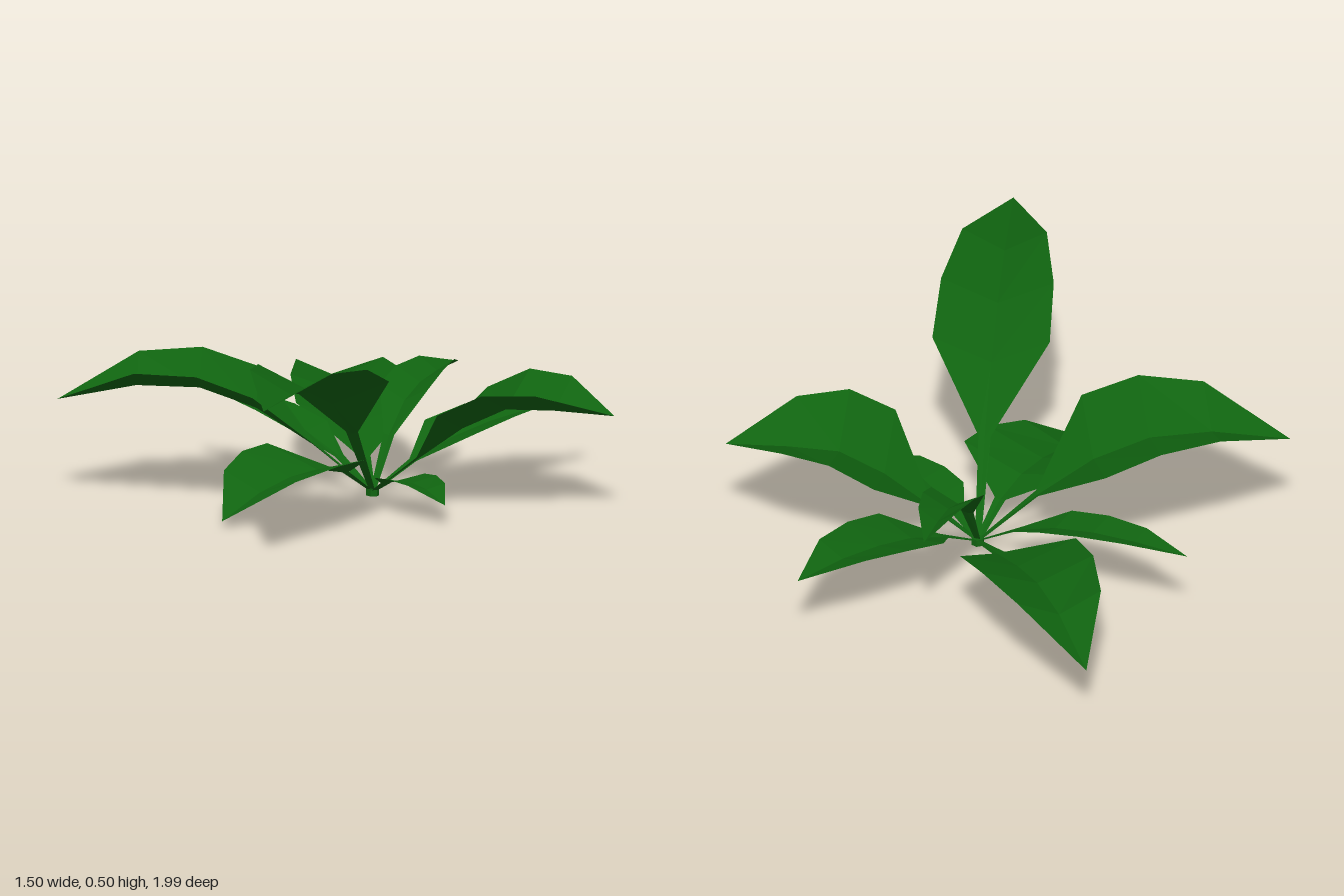
import * as THREE from 'three';

// Root of the plant, where all stalks meet
const ROOT_X = 0.06, ROOT_Z = -0.13;

// Shared blade outline: position along the leaf, share of half width, share of edge lift
const ALONG = [0, 0.19, 0.37, 0.55, 0.75, 1];
const WIDTH = [0, 0, 1, 0.96, 0.72, 0];
const LIFT = [0, 0.08, 1, 1, 0.9, 0];
const STALK = [0.008, 0.017, 0, 0, 0, 0];

// A leaf is a V-shaped strip folded along its midrib
function leafGeometry({ tip, width, lift, rib }) {
  const dx = tip[0] - ROOT_X, dz = tip[1] - ROOT_Z;
  const length = Math.hypot(dx, dz);
  const sideX = dz / length, sideZ = -dx / length;
  const positions = [], index = [];
  ALONG.forEach((t, i) => {
    const half = WIDTH[i] * width + STALK[i];
    for (const s of [-1, 0, 1]) {
      positions.push(
        ROOT_X + dx * t + sideX * half * s,
        rib[i] + Math.abs(s) * LIFT[i] * lift,
        ROOT_Z + dz * t + sideZ * half * s,
      );
    }
    if (i === 0) return;
    const a = (i - 1) * 3, b = i * 3;
    for (const k of [0, 1]) {
      const p = a + k, q = a + k + 1, r = b + k, u = b + k + 1;
      if (i === ALONG.length - 1) index.push(p, r, q);
      else index.push(p, r, q, q, r, u);
    }
  });
  const geometry = new THREE.BufferGeometry();
  geometry.setAttribute('position', new THREE.Float32BufferAttribute(positions, 3));
  // Wind every face so that its front looks up
  for (let i = 0; i < index.length; i += 3) {
    const [a, b, c] = index.slice(i, i + 3).map((n) => new THREE.Vector3().fromArray(positions, n * 3));
    if (b.sub(a).cross(c.sub(a)).y < 0) [index[i + 1], index[i + 2]] = [index[i + 2], index[i + 1]];
  }
  geometry.setIndex(index);
  const flat = geometry.toNonIndexed();
  flat.computeVertexNormals();
  return flat;
}

// tip is [x, z]; rib lists midrib heights from root to tip
const LEAVES = [
  { name: 'frontLongLeaf', tip: [0.18, 0.99], width: 0.16, lift: 0.07, rib: [0.01, 0.21, 0.33, 0.4, 0.435, 0.44] },
  { name: 'leftBroadLeaf', tip: [0.75, -0.17], width: 0.22, lift: 0.075, rib: [0.01, 0.11, 0.2, 0.26, 0.265, 0.26] },
  { name: 'rightBroadLeaf', tip: [-0.75, 0.15], width: 0.23, lift: 0.07, rib: [0.01, 0.14, 0.24, 0.295, 0.3, 0.26] },
  { name: 'backLongLeaf', tip: [-0.41, -1], width: 0.165, lift: 0.06, rib: [0.01, 0.07, 0.13, 0.175, 0.185, 0.145] },
  { name: 'backLeftLeaf', tip: [0.44, -0.74], width: 0.12, lift: 0.03, rib: [0.01, 0.08, 0.13, 0.16, 0.18, 0.185] },
  { name: 'backSmallLeaf', tip: [0.11, -0.64], width: 0.075, lift: 0.04, rib: [0.01, 0.15, 0.23, 0.265, 0.28, 0.285] },
  { name: 'backRightNarrowLeaf', tip: [-0.58, -0.44], width: 0.075, lift: 0.02, rib: [0.01, 0.09, 0.14, 0.17, 0.19, 0.205] },
  { name: 'frontRightLeaf', tip: [-0.15, 0.455], width: 0.18, lift: 0.05, rib: [0.01, 0.08, 0.105, 0.1, 0.075, 0.018] },
  { name: 'frontLeftSmallLeaf', tip: [0.4, 0.2], width: 0.075, lift: 0.015, rib: [0.01, 0.05, 0.07, 0.08, 0.078, 0.055] },
];

export function createModel() {
  const plant = new THREE.Group();
  plant.name = 'leafyPlant';
  const green = new THREE.MeshStandardMaterial({ color: 0x106410, flatShading: true, side: THREE.DoubleSide });
  green.name = 'leafGreen';

  for (const leaf of LEAVES) {
    const mesh = new THREE.Mesh(leafGeometry(leaf), green);
    mesh.name = leaf.name;
    plant.add(mesh);
  }

  // Short crown joining the stalks
  const crown = new THREE.Mesh(new THREE.CylinderGeometry(0.018, 0.018, 0.02, 6), green);
  crown.name = 'crown';
  crown.position.set(ROOT_X, 0.01, ROOT_Z);
  plant.add(crown);
  return plant;
}
